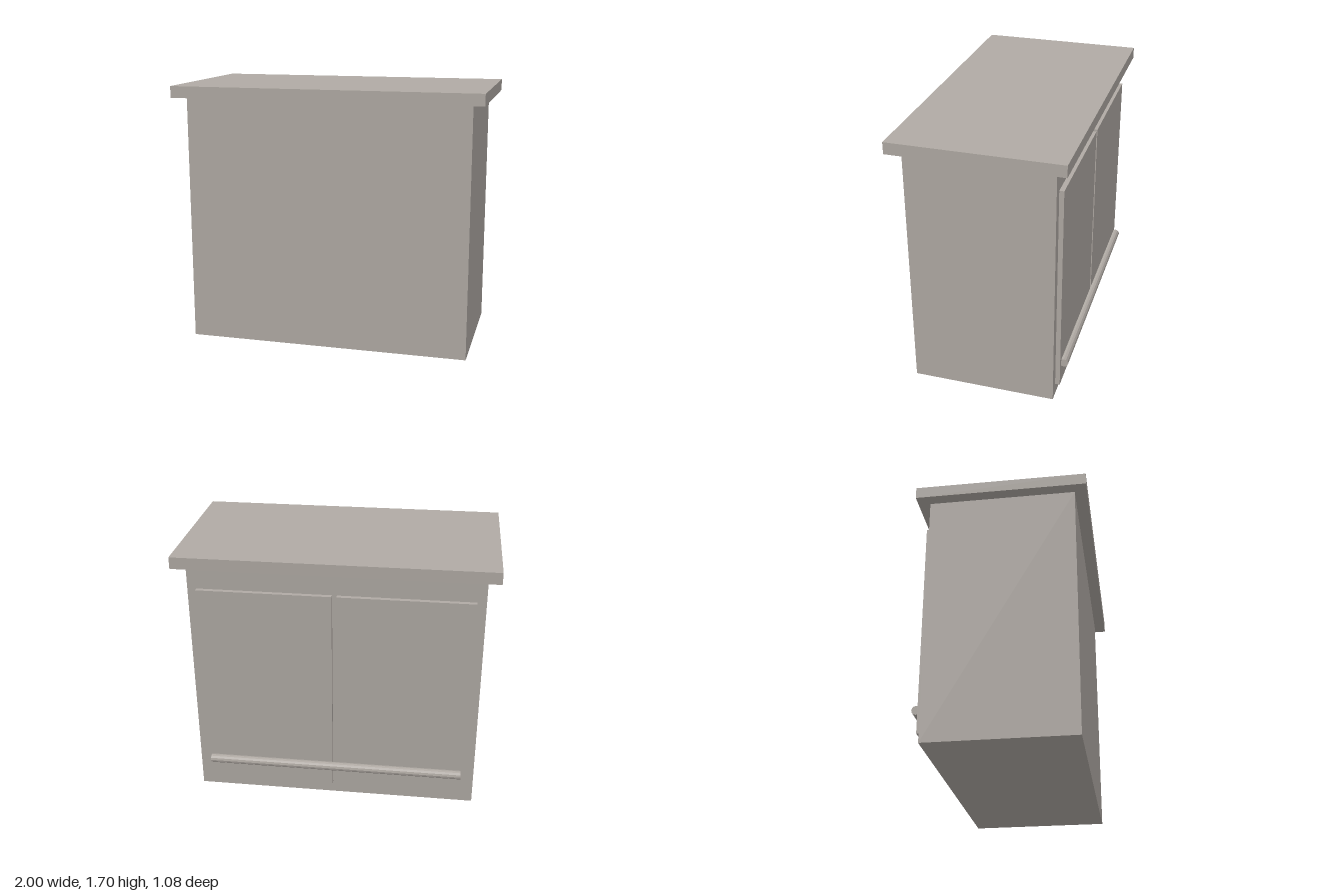
import * as THREE from 'three';

export function createModel() {
  const model = new THREE.Group();
  model.name = 'cabinet';
  const paint = new THREE.MeshStandardMaterial({ color: 0xb0aaa4, flatShading: true });
  paint.name = 'warm grey';

  // Box given by its minimum and maximum corners
  const box = (name, [x0, y0, z0], [x1, y1, z1]) => {
    const mesh = new THREE.Mesh(new THREE.BoxGeometry(x1 - x0, y1 - y0, z1 - z0), paint);
    mesh.position.set((x0 + x1) / 2, (y0 + y1) / 2, (z0 + z1) / 2);
    mesh.name = name;
    model.add(mesh);
  };

  // Carcass and overhanging worktop
  box('carcass', [-0.923, 0, -0.4615], [0.923, 1.62, 0.4615]);
  box('worktop', [-1, 1.62, -0.538], [1, 1.695, 0.538]);

  // Two raised doors on the back face with a narrow gap between them
  box('leftDoor', [0.015, 0.08, -0.491], [0.866, 1.465, -0.4615]);
  box('rightDoor', [-0.866, 0.08, -0.491], [-0.015, 1.465, -0.4615]);

  // Long round rail, partly sunk into the doors
  const rail = new THREE.Mesh(new THREE.CylinderGeometry(0.0285, 0.0285, 1.676, 12), paint);
  rail.rotation.z = Math.PI / 2;
  rail.position.set(0, 0.235, -0.507);
  rail.name = 'handleRail';
  model.add(rail);

  return model;
}
